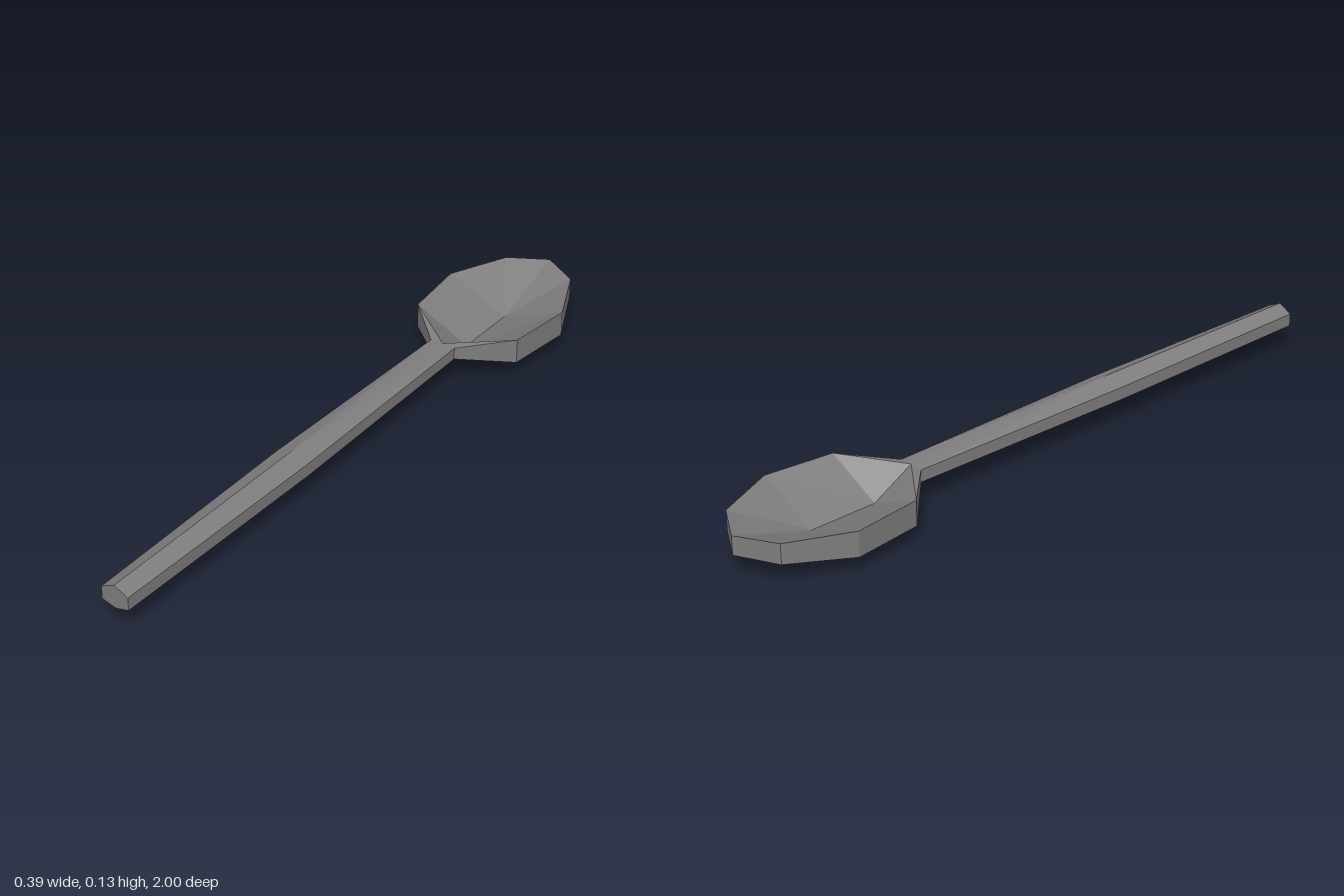
import * as THREE from 'three';

// Each section: [edge z, centre z, half width, top centre y, top edge y, bottom edge y, bottom centre y]
const HANDLE = [
  [1, 1, 0.042, 0.133, 0.112, 0.074, 0.063],
  [0.29, 0.29, 0.052, 0.133, 0.112, 0.074, 0.063],
  [-0.425, -0.425, 0.04, 0.112, 0.11, 0.074, 0.063],
];
const BOWL = [
  HANDLE[2],
  [-0.55, -0.55, 0.171, 0.042, 0.122, 0.047, 0],
  [-0.755, -0.755, 0.194, 0.042, 0.122, 0.047, 0],
  [-0.935, -1, 0.113, 0.122, 0.122, 0.062, 0.066], // centre points reach the tip
];

// Six points around a section, starting at the top centre
function ring([ze, zc, w, tc, te, be, bc]) {
  return [[0, tc, zc], [w, te, ze], [w, be, ze], [0, bc, zc], [-w, be, ze], [-w, te, ze]];
}

// Faceted skin through the sections, with optional end caps
function loft(sections, capStart, capEnd) {
  const rings = sections.map(ring);
  const pos = [];
  const tri = (...pts) => pts.forEach((p) => pos.push(...p));
  for (let i = 0; i < rings.length - 1; i++) {
    for (let j = 0; j < 6; j++) {
      const k = (j + 1) % 6;
      const a = rings[i][j], b = rings[i][k], c = rings[i + 1][k], d = rings[i + 1][j];
      // diagonals fan out from the centre line on both halves
      if (j % 3 === 2) { tri(a, b, d); tri(b, c, d); }
      else { tri(a, b, c); tri(a, c, d); }
    }
  }
  // caps are two quads, folded along the centre line
  if (capStart) {
    const r = rings[0];
    tri(r[0], r[3], r[2]); tri(r[0], r[2], r[1]);
    tri(r[0], r[5], r[4]); tri(r[0], r[4], r[3]);
  }
  if (capEnd) {
    const r = rings[rings.length - 1];
    tri(r[0], r[1], r[2]); tri(r[0], r[2], r[3]);
    tri(r[0], r[3], r[4]); tri(r[0], r[4], r[5]);
  }
  const geometry = new THREE.BufferGeometry();
  geometry.setAttribute('position', new THREE.Float32BufferAttribute(pos, 3));
  geometry.computeVertexNormals(); // unshared corners give flat facets
  return geometry;
}

export function createModel() {
  const group = new THREE.Group();
  group.name = 'spoon';
  const metal = new THREE.MeshStandardMaterial({ color: 0x7f7d7d });
  metal.name = 'grey metal';

  const handle = new THREE.Mesh(loft(HANDLE, true, false), metal);
  handle.name = 'handle';
  const bowl = new THREE.Mesh(loft(BOWL, false, true), metal);
  bowl.name = 'bowl';
  group.add(handle, bowl);
  return group;
}
